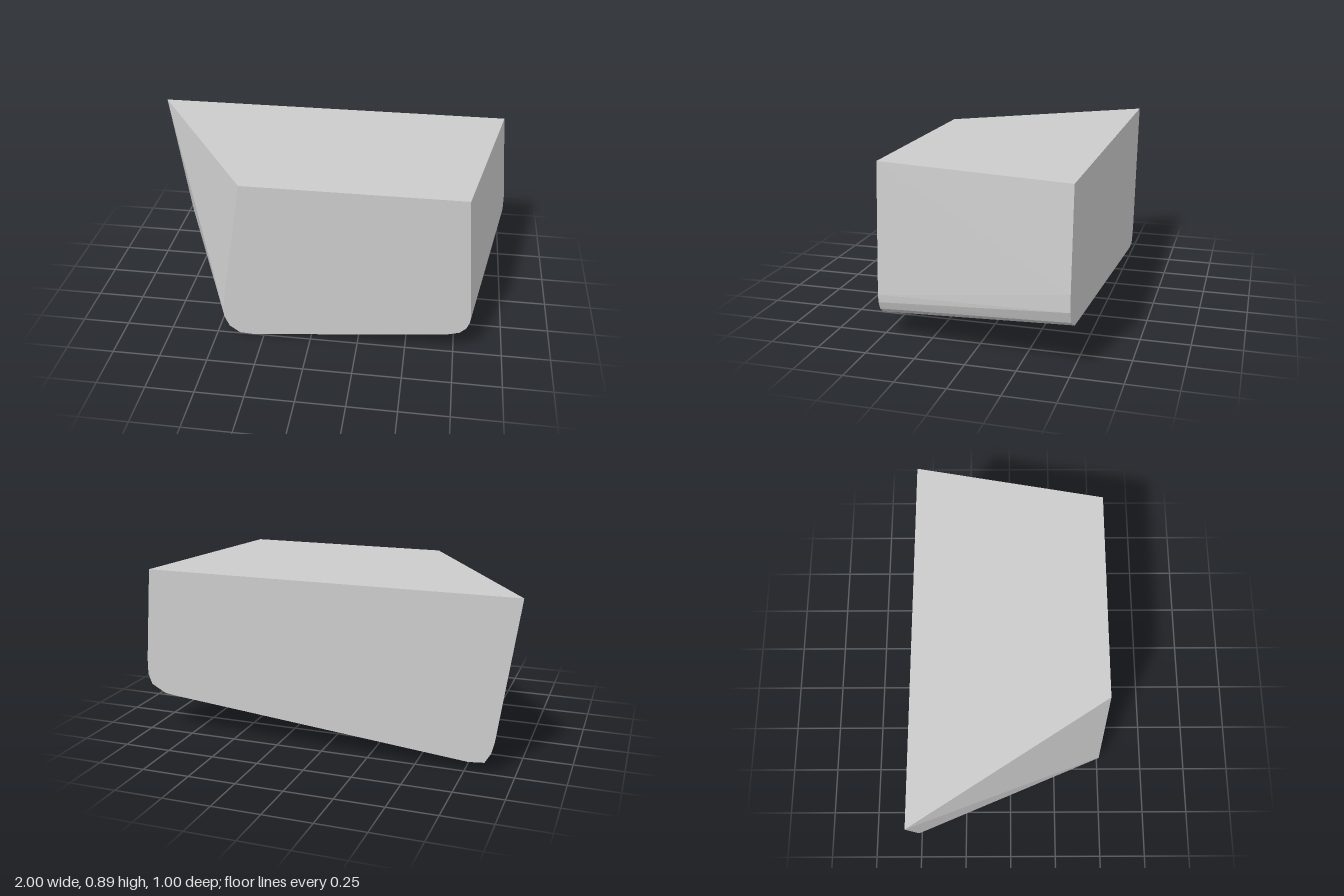
import * as THREE from 'three';
import { ConvexGeometry } from 'three/addons/geometries/ConvexGeometry.js';

// Outlines of the two end faces [x, y], from top left clockwise
const frontOutline = [
  [-0.35, 0.895], [0.775, 0.895], [0.827, 0.235], [0.824, 0.195], [0.808, 0.155],
  [0.775, 0.126], [0.71, 0.108], [-0.30, 0.002], [-0.38, 0.006], [-0.435, 0.045],
  [-0.46, 0.1], [-0.467, 0.15],
];
const backOutline = [
  [-1, 0.895], [0.955, 0.895], [0.999, 0.4], [1, 0.315], [0.98, 0.26],
  [0.9, 0.215], [0.82, 0.206], [-0.77, 0.053], [-0.85, 0.06], [-0.88, 0.11], [-0.896, 0.17],
];

export function createModel() {
  const group = new THREE.Group();
  group.name = 'taperedBlock';

  // Solid body: the convex skin stretched between the two outlines
  const at = (outline, z) => outline.map(([x, y]) => new THREE.Vector3(x, y, z));
  const geometry = new ConvexGeometry([...at(frontOutline, 0.5), ...at(backOutline, -0.5)]);
  const body = new THREE.Mesh(
    geometry,
    new THREE.MeshStandardMaterial({ color: 0xcccccc, flatShading: true }),
  );
  body.name = 'body';
  group.add(body);
  return group;
}
